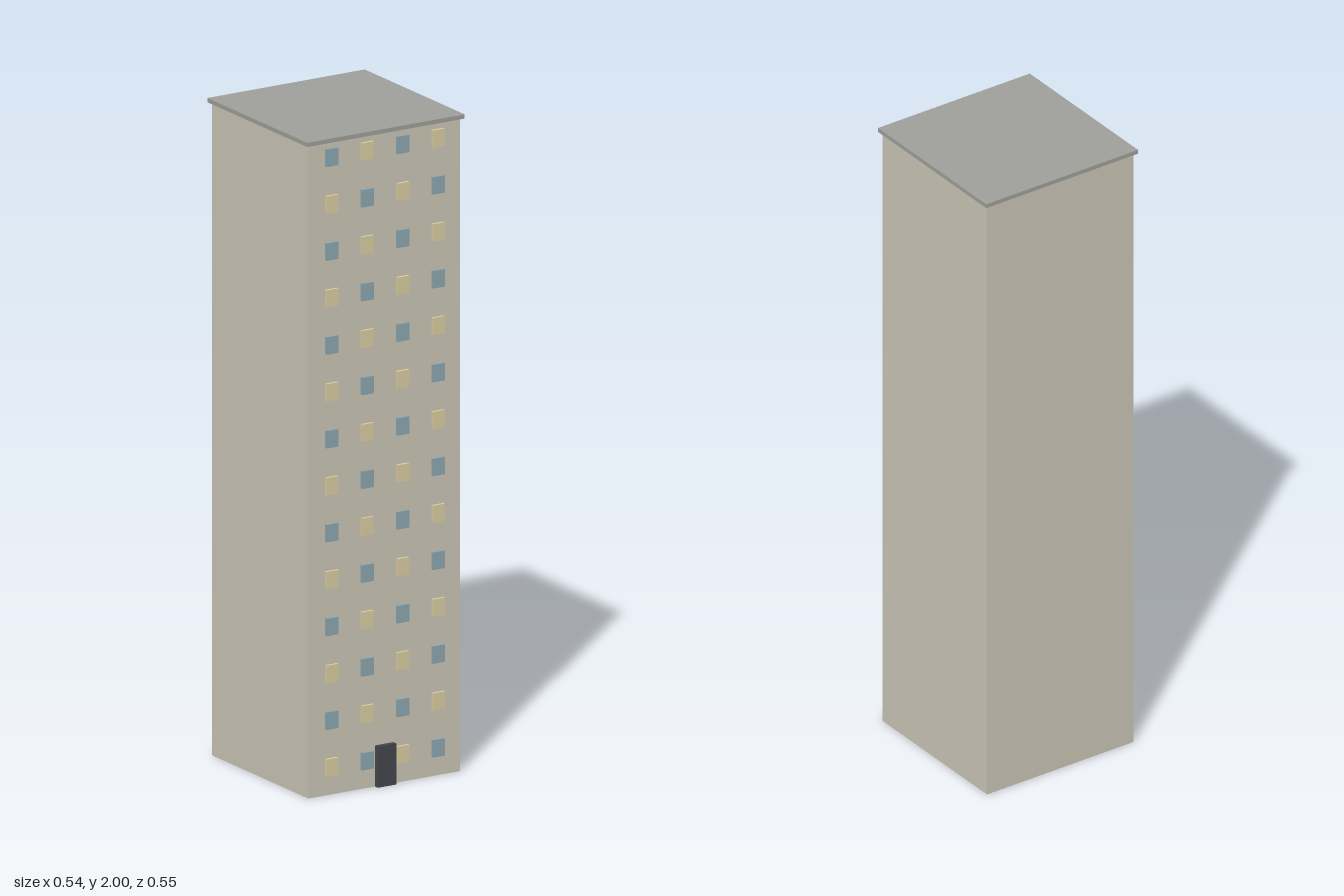
import * as THREE from 'three';

const material = (color) => new THREE.MeshStandardMaterial({ color });

function box(name, size, position, mat) {
  const mesh = new THREE.Mesh(new THREE.BoxGeometry(...size), mat);
  mesh.name = name;
  mesh.position.set(...position);
  return mesh;
}

export function createModel() {
  const model = new THREE.Group();
  model.name = 'apartmentTower';

  const centreZ = -0.004;
  const width = 0.524;
  const bodyHeight = 1.987;
  const frontZ = centreZ + width / 2;

  // Tower block and overhanging flat roof
  model.add(box('body', [width, bodyHeight, width], [0, bodyHeight / 2, centreZ], material(0xc9c4b4)));
  model.add(box('roofSlab', [0.544, 2 - bodyHeight, 0.544], [0, (2 + bodyHeight) / 2, centreZ], material(0x9e9e9a)));

  // Entrance door
  model.add(box('door', [0.064, 0.125, 0.016], [0, 0.0625, frontZ + 0.008], material(0x44464c)));

  // Window grid: lit and dark panes alternate like a chequerboard
  const lit = material(0xd8cba0);
  const dark = material(0x8aa5ae);
  const windows = new THREE.Group();
  windows.name = 'windows';
  for (let floor = 0; floor < 14; floor++) {
    for (let column = 0; column < 4; column++) {
      const isLit = (floor + column) % 2 === 0;
      windows.add(box(isLit ? 'litWindow' : 'darkWindow', [0.041, 0.053, 0.009],
        [(column - 1.5) * 0.1225, 0.085 + floor * 0.1428, frontZ + 0.0045], isLit ? lit : dark));
    }
  }
  model.add(windows);

  return model;
}
